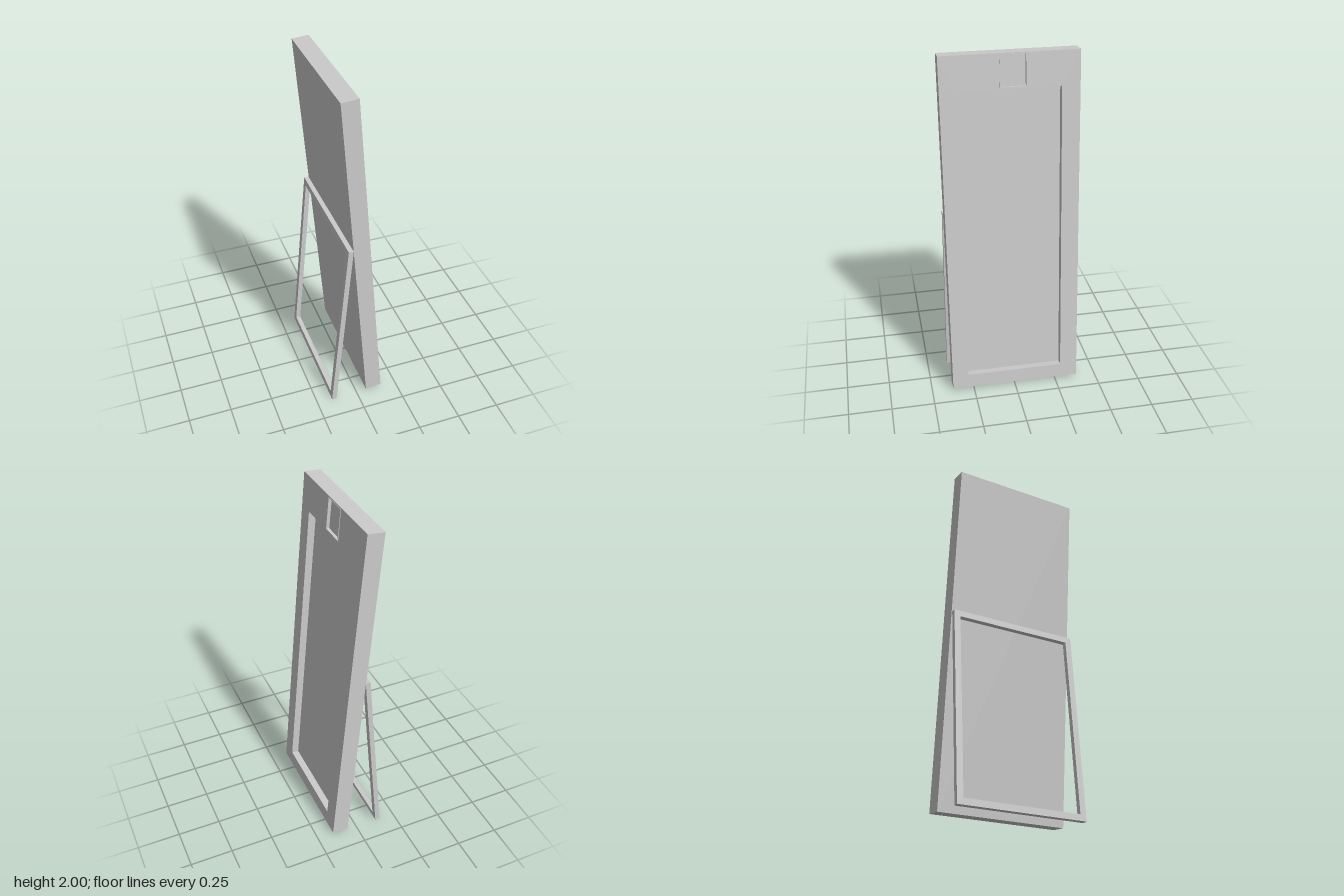
import * as THREE from 'three';

const material = new THREE.MeshStandardMaterial({ color: 0xcccccc, flatShading: true });

// Rectangle as [z0, y0, z1, y1]
function trace(path, [z0, y0, z1, y1]) {
  path.moveTo(z0, y0);
  path.lineTo(z1, y0);
  path.lineTo(z1, y1);
  path.lineTo(z0, y1);
  path.closePath();
  return path;
}

// Upright slab facing +x, from x = front back by depth, with rectangular holes
function slab(name, outer, holes, front, depth) {
  const shape = trace(new THREE.Shape(), outer);
  shape.holes = holes.map((h) => trace(new THREE.Path(), h));
  const geometry = new THREE.ExtrudeGeometry(shape, { depth, bevelEnabled: false });
  geometry.rotateY(-Math.PI / 2).translate(front, 0, 0);
  const mesh = new THREE.Mesh(geometry, material);
  mesh.name = name;
  return mesh;
}

export function createModel() {
  const model = new THREE.Group();
  model.name = 'leaningBoard';
  const lean = 0.0866;

  // Leaning board: pivot is its lower front edge
  const outline = [-0.382, 0, 0.376, 1.989];
  const window = [-0.281, 0.083, 0.282, 1.799];
  const pocket = [-0.087, 1.81, 0.052, 1.979];
  const pocketRim = [-0.09, 1.807, 0.055, 1.982];
  const pocketDepth = 0.015, windowDepth = 0.042, thickness = 0.095;

  const board = new THREE.Group();
  board.name = 'board';
  board.position.set(0.155, 0.018, 0);
  board.rotation.z = lean;
  board.add(
    slab('boardFront', outline, [window, pocket], 0, pocketDepth),
    slab('boardMiddle', outline, [window], -pocketDepth, windowDepth - pocketDepth),
    slab('boardBack', outline, [], -windowDepth, thickness - windowDepth),
    slab('pocketRim', pocketRim, [pocket], 0.003, 0.003)
  );
  model.add(board);

  // Rear support frame, leaning the other way against the board
  const stand = slab('standFrame', [-0.379, 0, 0.38, 1.106],
    [[-0.343, 0.036, 0.344, 1.07]], 0, 0.028);
  stand.position.set(-0.131, 0, 0);
  stand.rotation.z = -lean;
  model.add(stand);

  return model;
}
